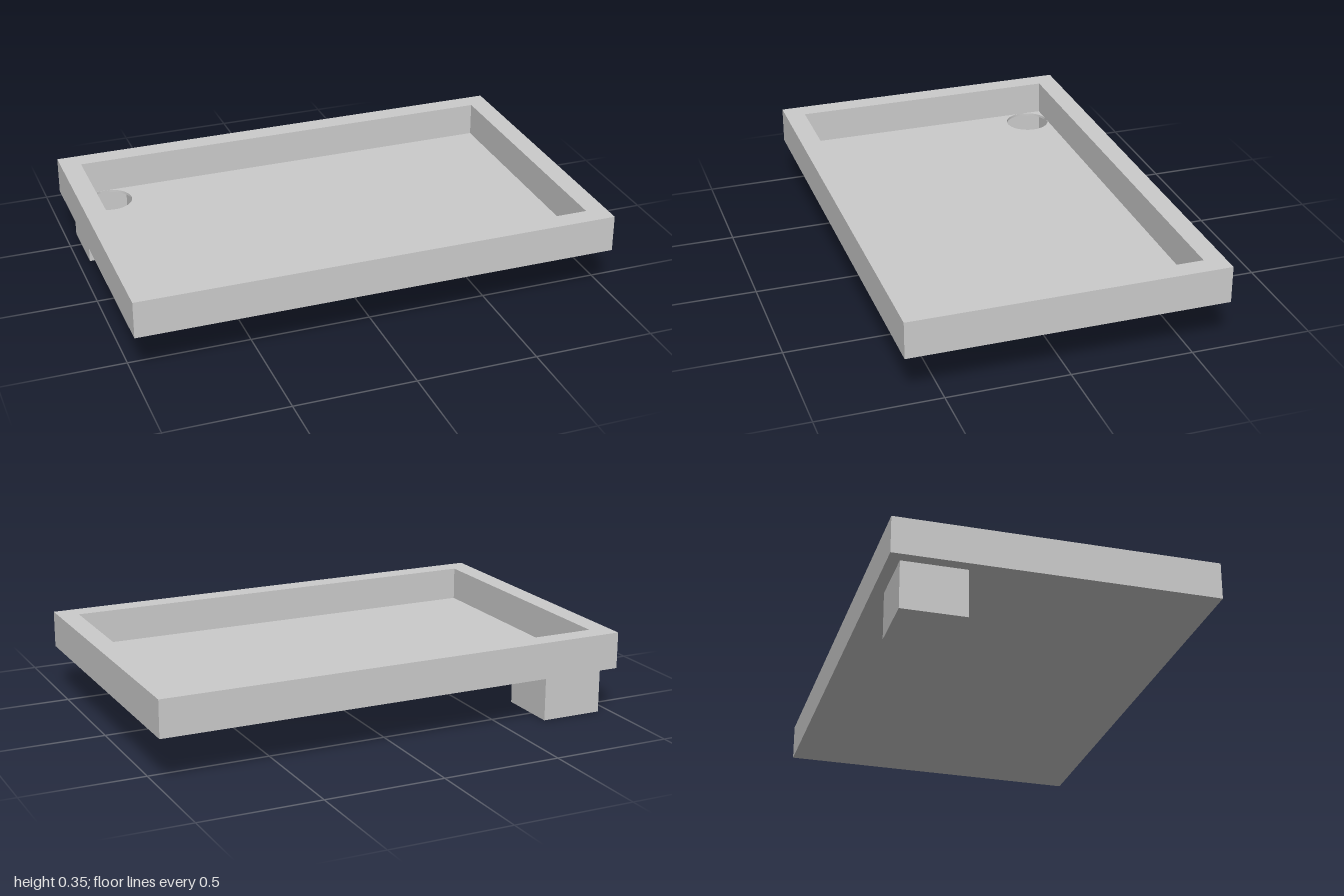
import * as THREE from 'three';
import { toCreasedNormals } from 'three/addons/utils/BufferGeometryUtils.js';

const material = new THREE.MeshStandardMaterial({ color: 0xcccccc });

// Rectangle centred on (x, z), as a plan outline (plan y is -z)
function rect(x, z, w, d, Type = THREE.Shape) {
  const l = x - w / 2, r = x + w / 2, b = -z - d / 2, t = -z + d / 2;
  return new Type([[l, b], [r, b], [r, t], [l, t]].map(p => new THREE.Vector2(...p)));
}

// Upright slab from a plan outline with an optional hole, between two heights
function slab(name, outline, hole, y0, y1) {
  if (hole) outline.holes.push(hole);
  const geometry = new THREE.ExtrudeGeometry(outline, {
    depth: y1 - y0, bevelEnabled: false, curveSegments: 48,
  });
  geometry.rotateX(-Math.PI / 2).translate(0, y0, 0);
  const mesh = new THREE.Mesh(toCreasedNormals(geometry, 0.5), material);
  mesh.name = name;
  return mesh;
}

export function createModel() {
  const group = new THREE.Group();
  group.name = 'drainTray';

  const width = 2, depth = 1.3, rim = 0.085;
  const under = 0.197, floorTop = 0.208, top = 0.35;
  const innerW = width - 2 * rim, innerD = depth - 2 * rim;
  const drain = { x: -0.82, z: -0.472, radius: 0.095, cup: 0.262, pocket: 0.192, base: 0.03 };

  // Tray: raised rim around a thin floor with a round drain hole in the back corner
  const drainHole = new THREE.Path().absarc(drain.x, -drain.z, drain.radius, 0, Math.PI * 2);
  group.add(
    slab('trayRim', rect(0, 0, width, depth), rect(0, 0, innerW, innerD, THREE.Path), under, top),
    slab('trayFloor', rect(0, 0, innerW, innerD), drainHole, under, floorTop),
  );

  // Square hollow cup below the drain hole
  const pocket = rect(drain.x, drain.z, drain.pocket, drain.pocket, THREE.Path);
  group.add(
    slab('cupWalls', rect(drain.x, drain.z, drain.cup, drain.cup), pocket, 0, under),
    slab('cupBase', rect(drain.x, drain.z, drain.pocket, drain.pocket), null, 0, drain.base),
  );

  return group;
}
